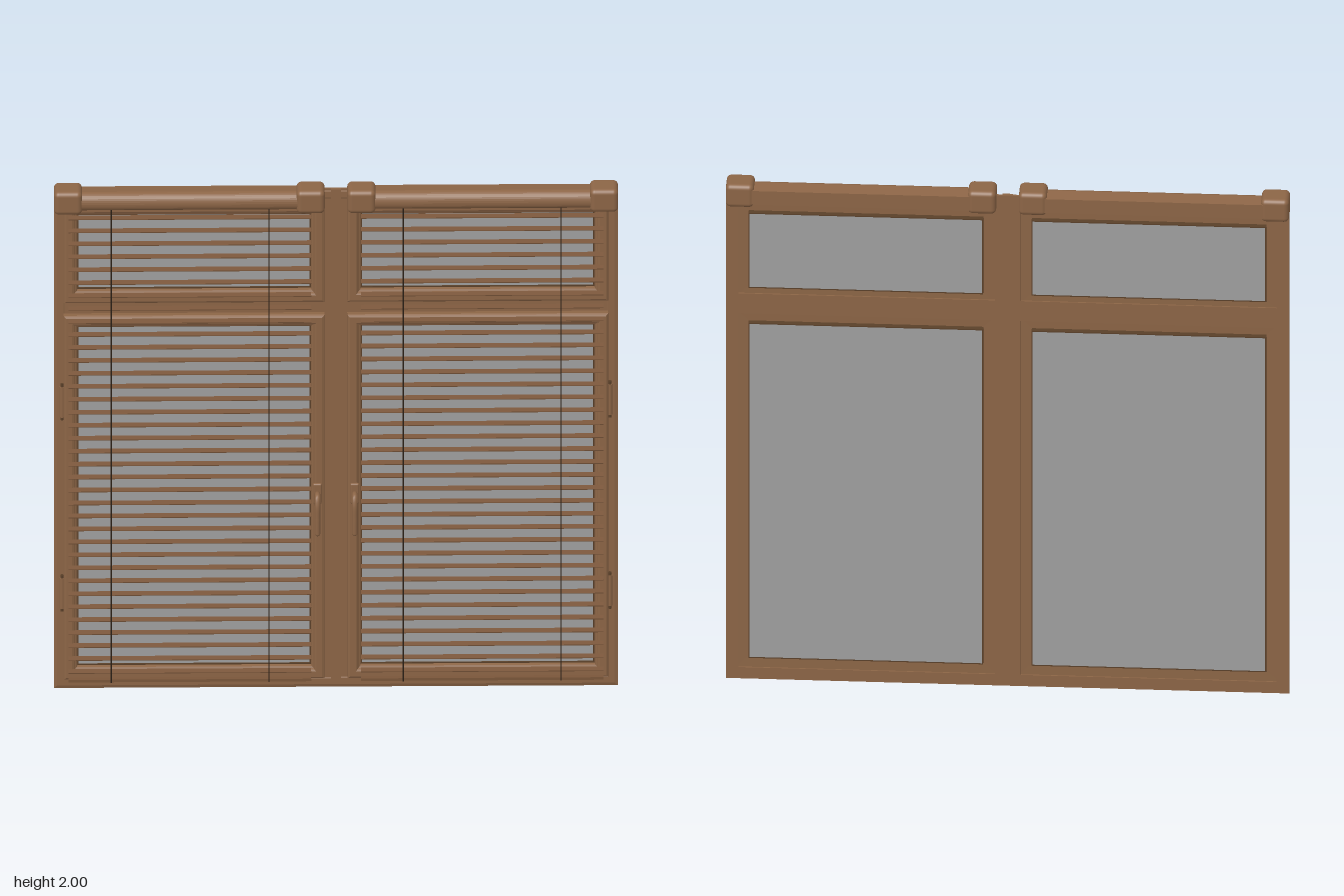
import * as THREE from 'three';
import { RoundedBoxGeometry } from 'three/addons/geometries/RoundedBoxGeometry.js';

const mat = (name, color, side = THREE.FrontSide) => {
  const m = new THREE.MeshStandardMaterial({ color, side });
  m.name = name;
  return m;
};

export function createModel() {
  const wood = mat('wood', 0x8c6546);
  const darkWood = mat('dark wood', 0x5a4029);
  const slatWood = mat('slat wood', 0x7a563a);
  const cordMat = mat('cord', 0x2e2218);
  const glassMat = mat('glass', 0xa0a0a0);

  const model = new THREE.Group();
  model.name = 'window';

  const add = (parent, name, geo, material, x = 0, y = 0, z = 0) => {
    const mesh = new THREE.Mesh(geo, material);
    mesh.name = name;
    mesh.position.set(x, y, z);
    parent.add(mesh);
    return mesh;
  };
  const box = (parent, name, x0, y0, z0, x1, y1, z1, material) =>
    add(parent, name, new THREE.BoxGeometry(x1 - x0, y1 - y0, z1 - z0), material,
      (x0 + x1) / 2, (y0 + y1) / 2, (z0 + z1) / 2);

  // Mitred rectangular ring swept from a closed profile of [inset, z] points,
  // listed from outer back to outer front to inner front to inner back
  const ring = ([x0, y0, x1, y1], profile) => {
    const corners = ([i, z]) => [[x0 + i, y0 + i, z], [x1 - i, y0 + i, z], [x1 - i, y1 - i, z], [x0 + i, y1 - i, z]];
    const pos = [];
    profile.forEach((p, k) => {
      const a = corners(p), b = corners(profile[(k + 1) % profile.length]);
      for (let c = 0; c < 4; c++) {
        const d = (c + 1) % 4;
        pos.push(...a[c], ...a[d], ...b[d], ...a[c], ...b[d], ...b[c]);
      }
    });
    const geo = new THREE.BufferGeometry();
    geo.setAttribute('position', new THREE.Float32BufferAttribute(pos, 3));
    geo.computeVertexNormals();
    return geo;
  };

  // Thin fixed frame: border, mullion and transoms
  const fixedProfile = [[0, -0.036], [0, -0.03], [0.012, -0.026], [0.035, -0.026], [0.045, -0.03], [0.045, -0.036]];
  add(model, 'outerFrame', ring([-1, 0, 1, 1.98], fixedProfile), wood);
  box(model, 'mullion', -0.045, 0.04, -0.036, 0.045, 1.98, -0.028, wood);
  box(model, 'mullionRidge', -0.018, 0.02, -0.03, 0.018, 1.98, -0.022, wood);

  const sashProfile = [[0, -0.031], [0, -0.008], [0.003, -0.003], [0.009, 0], [0.03, 0],
    [0.036, -0.003], [0.039, -0.01], [0.046, -0.013], [0.05, -0.03]];
  const skirtProfile = [[0, -0.05], [0, -0.028], [0.004, -0.028], [0.004, -0.05]];
  const gasketProfile = [[0, -0.03], [0, -0.024], [0.007, -0.024], [0.007, -0.03]];

  // Sash with glazing that stands proud at the back
  const addSash = (parent, name, rect) => {
    const sash = new THREE.Group();
    sash.name = name;
    parent.add(sash);
    const [x0, y0, x1, y1] = rect;
    const g = [x0 + 0.046, y0 + 0.046, x1 - 0.046, y1 - 0.046];
    add(sash, 'sashFrame', ring(rect, sashProfile), wood);
    add(sash, 'glazingBead', ring(g, skirtProfile), darkWood);
    add(sash, 'gasket', ring(g, gasketProfile), darkWood);
    box(sash, 'glass', g[0] + 0.003, g[1] + 0.003, -0.0495, g[2] - 0.003, g[3] - 0.003, -0.029, glassMat);
  };

  // Rounded blind cassette, extruded along x
  const cassette = new THREE.Shape();
  cassette.moveTo(-0.055, 1.925);
  cassette.lineTo(0.012, 1.92);
  cassette.quadraticCurveTo(0.032, 1.925, 0.032, 1.95);
  cassette.quadraticCurveTo(0.03, 1.982, 0, 1.986);
  cassette.lineTo(-0.055, 1.98);
  cassette.closePath();

  for (const s of [-1, 1]) {
    const half = new THREE.Group();
    half.name = s > 0 ? 'leftHalf' : 'rightHalf';
    model.add(half);
    const span = (a, b) => (s > 0 ? [a, b] : [-b, -a]);
    const [sx0, sx1] = span(0.04, 0.965);

    box(half, 'transom', sx0, 1.475, -0.036, sx1, 1.555, -0.027, wood);
    addSash(half, 'lowerSash', [sx0, 0.045, sx1, 1.49]);
    addSash(half, 'upperSash', [sx0, 1.54, sx1, 1.935]);

    // Blind: head cassette with end caps
    const blind = new THREE.Group();
    blind.name = 'blind';
    half.add(blind);
    const tube = new THREE.ExtrudeGeometry(cassette, { depth: 0.8, bevelEnabled: false, curveSegments: 8 });
    tube.rotateY(-Math.PI / 2).scale(1, 1, 1);
    // after the turn the profile's x runs along z and the depth along -x
    add(blind, 'cassette', tube, wood, s * 0.52 + 0.4, 0, 0);
    for (const x of [0.09, 0.95])
      add(blind, 'endCap', new RoundedBoxGeometry(0.1, 0.09, 0.098, 4, 0.018), wood, s * x, 1.955, -0.009);

    // Tilted slats, bottom rail and ladder cords
    for (let i = 0; i < 36; i++) {
      const slat = box(blind, 'slat', s * 0.518 - 0.43, -0.0015, -0.011, s * 0.518 + 0.43, 0.0015, 0.011, slatWood);
      slat.position.set(s * 0.518, 0.085 + i * 0.0515, 0.009);
      slat.rotation.x = 0.25;
    }
    box(blind, 'bottomRail', s * 0.518 - 0.43, 0.046, 0, s * 0.518 + 0.43, 0.056, 0.018, slatWood);
    for (const x of [0.238, 0.797])
      for (const z of [-0.002, 0.02])
        add(blind, 'cord', new THREE.CylinderGeometry(0.0025, 0.0025, 1.88, 6), cordMat, s * x, 0.985, z);

    // Lever handle on a small plate
    const handle = new THREE.Group();
    handle.name = 'handle';
    handle.position.set(s * 0.066, 0, 0);
    half.add(handle);
    add(handle, 'handlePlate', new RoundedBoxGeometry(0.032, 0.08, 0.014, 3, 0.006), wood, 0, 0.785, 0.003);
    const path = new THREE.CatmullRomCurve3([[0.78, 0], [0.79, 0.022], [0.785, 0.04], [0.762, 0.05], [0.71, 0.052], [0.65, 0.052]]
      .map(([y, z]) => new THREE.Vector3(0, y, z)));
    add(handle, 'lever', new THREE.TubeGeometry(path, 24, 0.01, 10), wood);
    add(handle, 'leverEnd', new THREE.SphereGeometry(0.01, 10, 8), wood, 0, 0.65, 0.052);

    // Hinges on the outer stile
    for (const y of [0.385, 1.145]) {
      add(half, 'hinge', new THREE.CylinderGeometry(0.009, 0.009, 0.12, 10), wood, s * 0.971, y, -0.016);
      for (const e of [-1, 1])
        add(half, 'hingeCap', new THREE.CylinderGeometry(0.006, 0.006, 0.02, 10), darkWood, s * 0.971, y + e * 0.062, -0.016);
    }
  }
  return model;
}
